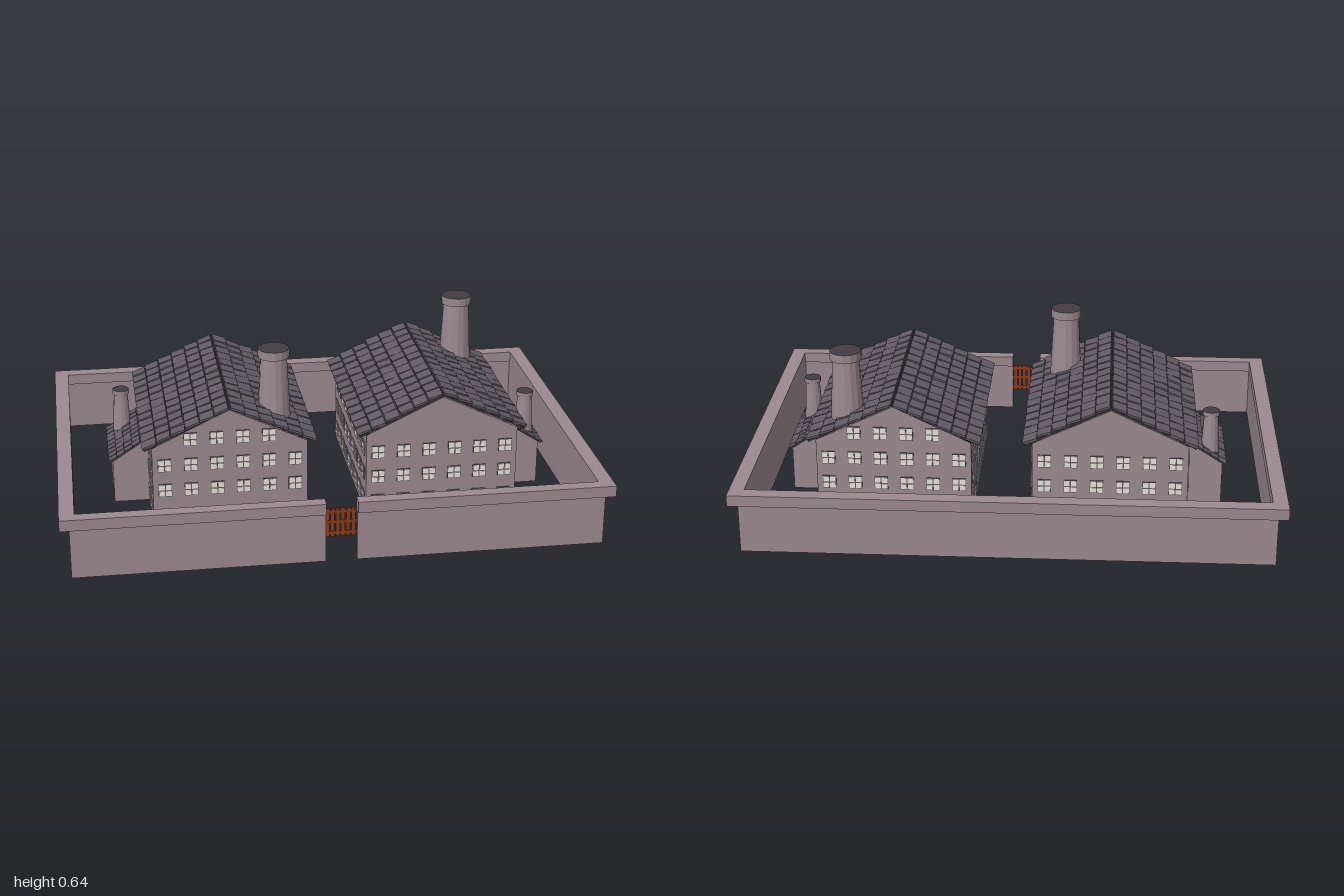
import * as THREE from 'three';
import { mergeGeometries } from 'three/addons/utils/BufferGeometryUtils.js';

// House walls are open sheets, so the stone shows from both sides
const stone = new THREE.MeshStandardMaterial({ color: 0x9b898f, side: THREE.DoubleSide });
const tile = new THREE.MeshStandardMaterial({ color: 0x625b64 });
const soot = new THREE.MeshStandardMaterial({ color: 0x433c43 });
const glass = new THREE.MeshStandardMaterial({ color: 0xe8e2dc });
const rust = new THREE.MeshStandardMaterial({ color: 0x8a3a1a });

let seed = 7;
const jitter = (a) => {
  seed = (seed * 16807) % 2147483647;
  return (seed / 2147483647 - 0.5) * 2 * a;
};

function add(parent, name, geometry, material) {
  const mesh = new THREE.Mesh(geometry, material);
  mesh.name = name;
  parent.add(mesh);
  return mesh;
}

const box = (x0, x1, y0, y1, z0, z1) =>
  new THREE.BoxGeometry(x1 - x0, y1 - y0, z1 - z0)
    .translate((x0 + x1) / 2, (y0 + y1) / 2, (z0 + z1) / 2);

const outline = (pts) =>
  new THREE.ShapeGeometry(new THREE.Shape(pts.map(([x, y]) => new THREE.Vector2(x, y))));

// Four panes on a thin dark frame, facing +z and turned by angle
function addWindow(panes, frames, x, y, z, angle) {
  const place = (g) => g.rotateY(angle).translate(x, y, z);
  for (const i of [-1, 1]) for (const j of [-1, 1]) {
    panes.push(place(new THREE.BoxGeometry(0.021, 0.021, 0.004).translate(i * 0.0125, j * 0.0125, 0.004)));
  }
  frames.push(place(new THREE.BoxGeometry(0.05, 0.05, 0.008)));
}

// One roof slope: a thin deck under rows of separate, uneven tiles.
// It falls towards side * x from a ridge at (x, y), and bows along z.
function roofSlope(parent, name, { x, y, z = 0, side, length, slope, pitch, rows, columns, bow = 0 }) {
  const place = (g) => {
    g.rotateZ(-pitch);
    if (side < 0) g.rotateY(Math.PI);
    return g.translate(x, y, z);
  };
  const run = slope / rows, pace = length / columns;
  const tiles = [];
  for (let r = 0; r < rows; r++) for (let c = 0; c < columns; c++) {
    const t = new THREE.BoxGeometry(run * 0.93, run * 0.13, pace * 0.9);
    t.rotateX(jitter(0.07)).rotateZ(0.1 + jitter(0.04)).rotateY(jitter(0.05));
    const shift = bow * side * Math.cos((r + 0.5) / rows * Math.PI / 2);
    t.translate((r + 0.5) * run, run * 0.12 + jitter(0.001), (c + 0.5) * pace - length / 2 + shift);
    tiles.push(t);
  }
  add(parent, name + 'Tiles', place(mergeGeometries(tiles)), tile);
  add(parent, name + 'Deck', place(box(0, slope - 0.004, -0.004, 0.002, -length / 2 + 0.008, length / 2 - 0.008)), soot);
}

// Tapered faceted chimney with a collar and a sooty top
function chimney(parent, name, x, z, y0, y1, rBase, rTop, rCollar, collar) {
  const group = new THREE.Group();
  group.name = name;
  const drum = (top, bottom, from, to) => {
    const g = new THREE.CylinderGeometry(top, bottom, to - from, 14).toNonIndexed();
    g.computeVertexNormals();
    return g.translate(x, (from + to) / 2, z);
  };
  add(group, 'shaft', drum(rTop, rBase, y0, y1 - collar), stone);
  add(group, 'collar', drum(rCollar, rCollar, y1 - collar, y1), [stone, soot, stone]);
  parent.add(group);
}

// House with a lean-to on one side; face is the gable with the attic windows
function house({ name, x, z, side, face, stackX, stackZ }) {
  const g = new THREE.Group();
  g.name = name;
  g.position.set(x, 0, z);
  const w = 0.288, d = 0.374, eave = 0.325, peak = 0.463, pitch = 0.445;

  // Walls, open underneath
  const gable = () => outline([[-w, 0], [w, 0], [w, eave], [0, peak], [-w, eave]]);
  const flank = () => new THREE.PlaneGeometry(2 * d, eave).translate(0, eave / 2, w);
  add(g, 'walls', mergeGeometries([
    gable().translate(0, 0, d),
    gable().rotateY(Math.PI).translate(0, 0, -d),
    flank().rotateY(Math.PI / 2),
    flank().rotateY(-Math.PI / 2),
  ]), stone);

  // Lean-to
  const leanZ = -face * 0.029, half = 0.15, far = 0.425, low = 0.175, high = 0.26;
  const end = () => outline([[w, 0], [far, 0], [far, low], [w, high]]);
  const lean = mergeGeometries([
    end().translate(0, 0, half),
    end().translate(0, 0, -half),
    new THREE.PlaneGeometry(2 * half, low).rotateY(Math.PI / 2).translate(far, low / 2, 0),
  ]);
  if (side < 0) lean.rotateY(Math.PI);
  add(g, 'leanToWalls', lean.translate(0, 0, leanZ), stone);
  roofSlope(g, 'leanToRoof', {
    x: side * w, y: 0.267, z: leanZ, side, length: 0.338, slope: 0.178, pitch: 0.576, rows: 5, columns: 9,
  });

  // Windows on the gables and flanks
  const panes = [], frames = [];
  const onGable = (s, wx, y) => addWindow(panes, frames, wx, y, s * d, s > 0 ? 0 : Math.PI);
  const onFlank = (s, wz, y) => addWindow(panes, frames, s * w, y, wz, s * Math.PI / 2);
  for (const y of [0.055, 0.155, 0.255]) for (const s of [-1, 1]) {
    for (let i = 0; i < 6; i++) onGable(s, (i - 2.5) * 0.097, y);
    for (let i = 0; i < 9; i++) {
      const wz = (i - 4) * 0.08;
      const behindLeanTo = s === side && Math.abs(wz - leanZ) < half + 0.03;
      if (!behindLeanTo) onFlank(s, wz, y);
    }
  }
  for (let i = 0; i < 4; i++) onGable(face, (i - 1.5) * 0.097, 0.356);
  add(g, 'windowPanes', mergeGeometries(panes), glass);
  add(g, 'windowFrames', mergeGeometries(frames), tile);

  // Main roof
  for (const s of [-1, 1]) {
    roofSlope(g, s < 0 ? 'rightRoof' : 'leftRoof', {
      x: 0, y: 0.473, side: s, length: 0.782, slope: 0.354, pitch, rows: 6, columns: 12, bow: face * 0.01,
    });
  }

  chimney(g, 'mainChimney', stackX, stackZ, 0.33, 0.638, 0.064, 0.05, 0.059, 0.033);
  chimney(g, 'leanToChimney', side * 0.378, -face * 0.125, 0.19, 0.367, 0.036, 0.027, 0.032, 0.018);
  return g;
}

export function createModel() {
  const model = new THREE.Group();

  // Yard wall with a wider coping, open at the gate
  const ring = (X, back, front, t, tFront, y0, y1) => mergeGeometries([
    box(-X, X, y0, y1, back, back + t),
    box(-X, -X + t, y0, y1, back + t, front - tFront),
    box(X - t, X, y0, y1, back + t, front - tFront),
    box(-X, -0.06, y0, y1, front - tFront, front),
    box(0.054, X, y0, y1, front - tFront, front),
  ]);
  add(model, 'yardWall', ring(0.966, -0.687, 0.695, 0.02, 0.02, 0, 0.195), stone);
  add(model, 'wallCoping', ring(1, -0.713, 0.713, 0.055, 0.048, 0.193, 0.235), stone);

  // Gate: upright planks and cross rails with small gaps between
  const bars = [];
  for (let i = 0; i < 6; i++) {
    const x = -0.058 + i * 0.0188;
    bars.push(box(x, x + 0.0145, 0.085, 0.197, 0.667, 0.67));
  }
  for (const y of [0.094, 0.137, 0.178]) bars.push(box(-0.06, 0.054, y, y + 0.012, 0.666, 0.671));
  add(model, 'gate', mergeGeometries(bars), rust);

  model.add(house({ name: 'rightHouse', x: -0.366, z: -0.027, side: -1, face: 1, stackX: 0.183, stackZ: 0.22 }));
  model.add(house({ name: 'leftHouse', x: 0.434, z: -0.037, side: 1, face: -1, stackX: 0.182, stackZ: -0.26 }));
  return model;
}
